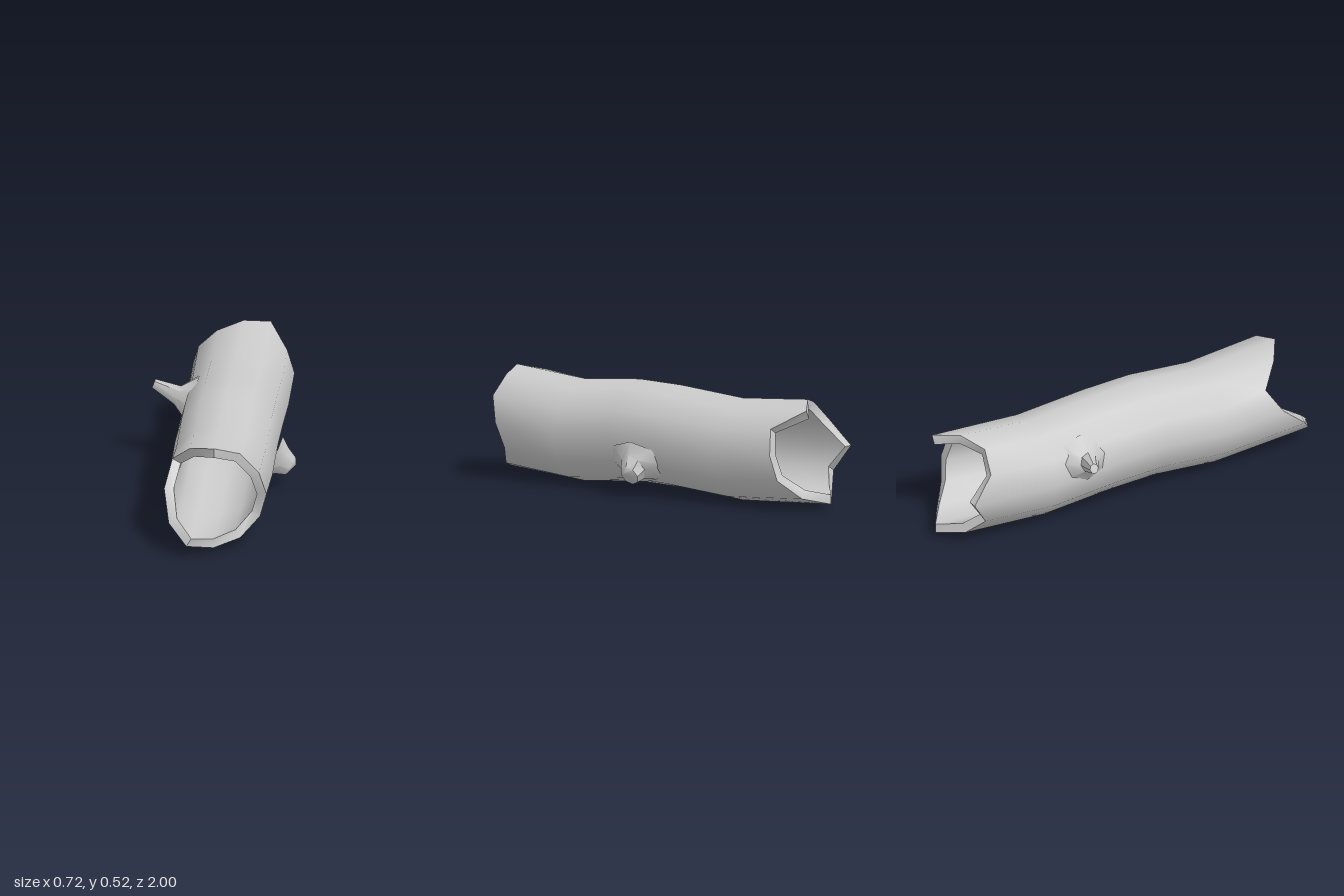
import * as THREE from 'three';
import { toCreasedNormals } from 'three/addons/utils/BufferGeometryUtils.js';

const SIDES = 12, CX = 0.037, OUTER = 0.246, INNER = 0.2;

// Joins a list of point rings into a skin; a closed skin also joins last to first.
function skin(rings, closed, crease) {
  const n = rings[0].length, index = [];
  const last = closed ? rings.length : rings.length - 1;
  for (let i = 0; i < last; i++) {
    const j = (i + 1) % rings.length;
    for (let k = 0; k < n; k++) {
      const m = (k + 1) % n;
      const a = i * n + k, b = i * n + m, c = j * n + m, d = j * n + k;
      index.push(a, d, b, b, d, c);
    }
  }
  const geometry = new THREE.BufferGeometry();
  geometry.setAttribute('position', new THREE.Float32BufferAttribute(rings.flat(2), 3));
  geometry.setIndex(index);
  return toCreasedNormals(geometry, crease);
}

// One ring of the trunk; z is a number or a list with one value per corner.
function trunkRing(radius, cy, z) {
  return Array.from({ length: SIDES }, (_, k) => {
    const a = (k / SIDES) * Math.PI * 2;
    return [CX + radius * Math.cos(a), cy + radius * Math.sin(a), Array.isArray(z) ? z[k] : z];
  });
}

// Hollow trunk with ragged ends
function trunkGeometry() {
  // Rim depth every 30 degrees, starting at +x and going towards the top
  const front = [0.83, 0.87, 0.86, 0.89, 0.81, 0.71, 0.79, 0.93, 1.0, 0.92, 0.86, 0.8];
  const back = [-0.82, -0.8, -0.945, -0.86, -0.8, -0.82, -0.93, -0.85, -0.91, -1.0, -0.92, -0.84];
  const sections = [[0.28, front], [0.249, 0.48], [0.28, 0.15], [0.275, -0.1], [0.249, -0.47], [0.28, back]];
  const outer = sections.map(([cy, z]) => trunkRing(OUTER, cy, z));
  const inner = sections.map(([cy, z]) => trunkRing(INNER, cy, z)).reverse();
  return skin([...outer, ...inner], true, 0.75);
}

// Broken branch: rings of [x, y, z, half height, half depth] around an outward direction
function branchGeometry(angle, sections) {
  const ux = -Math.sin(angle), uy = Math.cos(angle), n = 8;
  const rings = sections.map(([x, y, z, h, d]) => Array.from({ length: n }, (_, k) => {
    const a = (-k / n) * Math.PI * 2;
    return [x + ux * h * Math.cos(a), y + uy * h * Math.cos(a), z + d * Math.sin(a)];
  }));
  return skin(rings, false, 0.7);
}

export function createModel() {
  const group = new THREE.Group();
  group.name = 'hollowLog';
  const material = new THREE.MeshStandardMaterial({ color: 0xcccccc });
  const add = (name, geometry) => {
    const mesh = new THREE.Mesh(geometry, material);
    mesh.name = name;
    group.add(mesh);
  };

  add('trunk', trunkGeometry());

  // Short, thick stub on the left side
  add('leftBranchStub', branchGeometry(-Math.PI / 6, [
    [0.235, 0.165, 0.01, 0.12, 0.16],
    [0.285, 0.14, 0, 0.075, 0.07],
    [0.328, 0.112, -0.01, 0.052, 0.05],
    [0.357, 0.122, 0, 0.001, 0.001],
  ]));

  // Longer, thinner stub on the right side
  add('rightBranchStub', branchGeometry(Math.PI * 0.88, [
    [-0.17, 0.34, -0.3, 0.11, 0.13],
    [-0.235, 0.345, -0.305, 0.05, 0.05],
    [-0.352, 0.383, -0.352, 0.024, 0.023],
    [-0.353, 0.383, -0.352, 0.001, 0.001],
  ]));

  return group;
}
